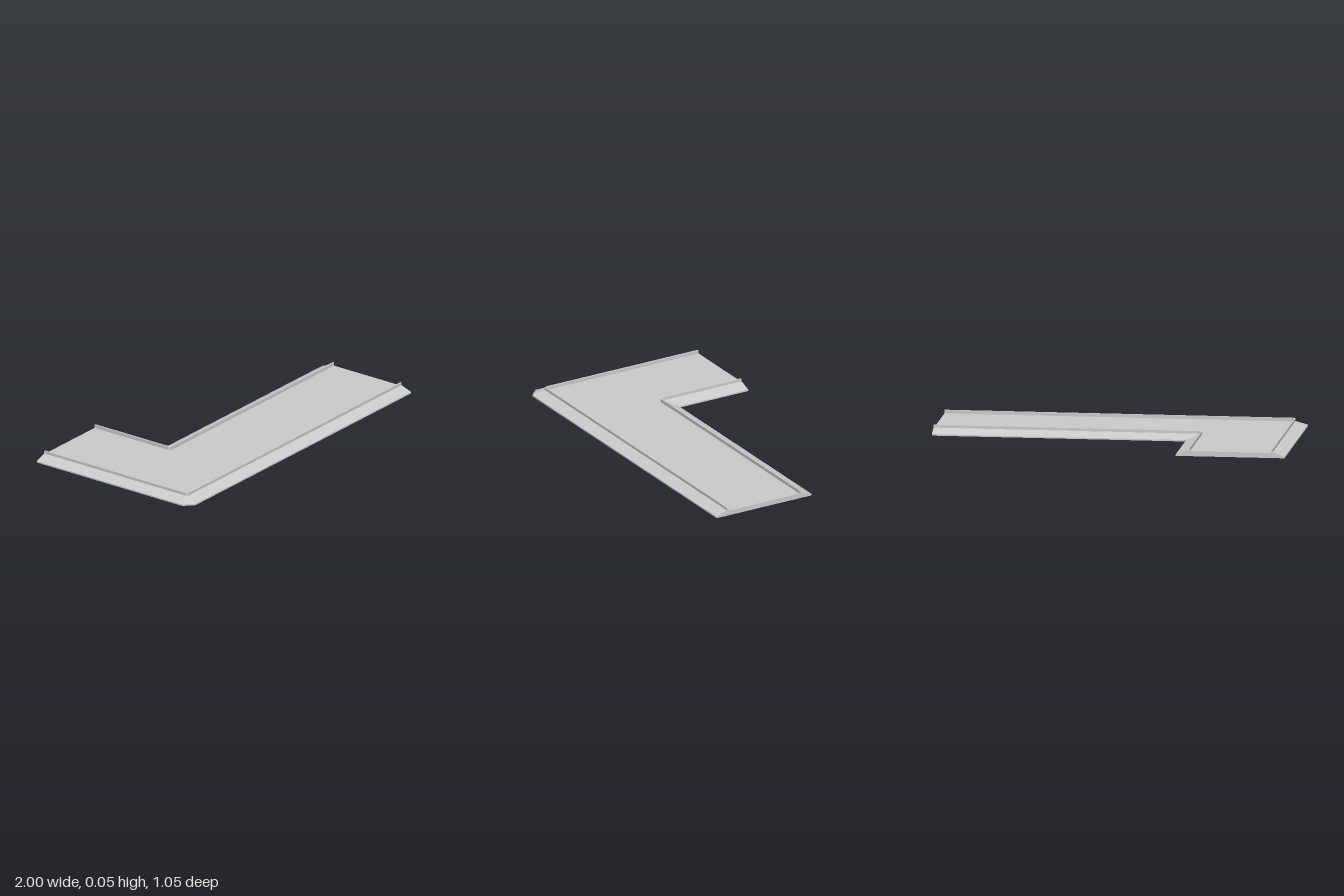
import * as THREE from 'three';

const BACK = -0.524, FRONT = 0.524, LEFT_END = 1;

// Four stations along the L: back end, two points of the cut corner, side end
function stations(x, z, y, cut) {
  return [[x, y, BACK], [x, y, z - cut], [x + cut, y, z], [LEFT_END, y, z]];
}
// d is the distance inward from the outer or the inner border of the L
const outer = (d, y, cut) => stations(-1 + d, FRONT - d, y, cut);
const inner = (d, y, cut) => stations(-0.4 - d, -0.083 + d, y, cut);

// Quad surface through rows of points, facing (column direction) x (row direction)
function surface(rows) {
  const pos = [];
  for (let i = 0; i < rows.length - 1; i++) {
    for (let j = 0; j < rows[i].length - 1; j++) {
      const a = rows[i][j], b = rows[i][j + 1], c = rows[i + 1][j], d = rows[i + 1][j + 1];
      pos.push(...a, ...b, ...c, ...b, ...d, ...c);
    }
  }
  const geometry = new THREE.BufferGeometry();
  geometry.setAttribute('position', new THREE.Float32BufferAttribute(pos, 3));
  geometry.computeVertexNormals();
  return geometry;
}

export function createModel() {
  const group = new THREE.Group();
  const material = new THREE.MeshStandardMaterial({ color: 0xcccccc, flatShading: true });
  const add = (name, rows) => {
    const mesh = new THREE.Mesh(surface(rows), material);
    mesh.name = name;
    group.add(mesh);
  };

  const foot = 0.008, slopeTop = 0.032, floor = 0.028, lip = 0.047;

  // Cross-section from the outer border to the inner border
  const outerRamp = [outer(0, 0, 0.053), outer(0, foot, 0.053), outer(0.066, slopeTop, 0.014)];
  const outerLip = [outerRamp[2], outer(0.066, lip, 0.014), outer(0.075, lip, 0.012), outer(0.075, floor, 0.012)];
  const innerLip = [inner(0.079, floor, 0.012), inner(0.079, lip, 0.012), inner(0.07, lip, 0.012), inner(0.07, slopeTop, 0.012)];
  const innerRamp = [innerLip[3], inner(0, foot, 0.012), inner(0, 0, 0.012)];

  add('outerRamp', outerRamp);
  add('outerLip', outerLip);
  add('floor', [outerLip[3], innerLip[0]]);
  add('innerLip', innerLip);
  add('innerRamp', innerRamp);
  add('underside', [innerRamp[2], outerRamp[0]]);

  // Flat ends, from the cross-section down to the ground
  const profile = [...outerRamp, ...outerLip.slice(1), ...innerLip, ...innerRamp.slice(1)];
  const cut = (s) => profile.map((p) => p[s]);
  const ground = (points) => points.map(([x, , z]) => [x, 0, z]);
  add('backEnd', [cut(0), ground(cut(0))]);
  add('sideEnd', [ground(cut(3)), cut(3)]);

  return group;
}
